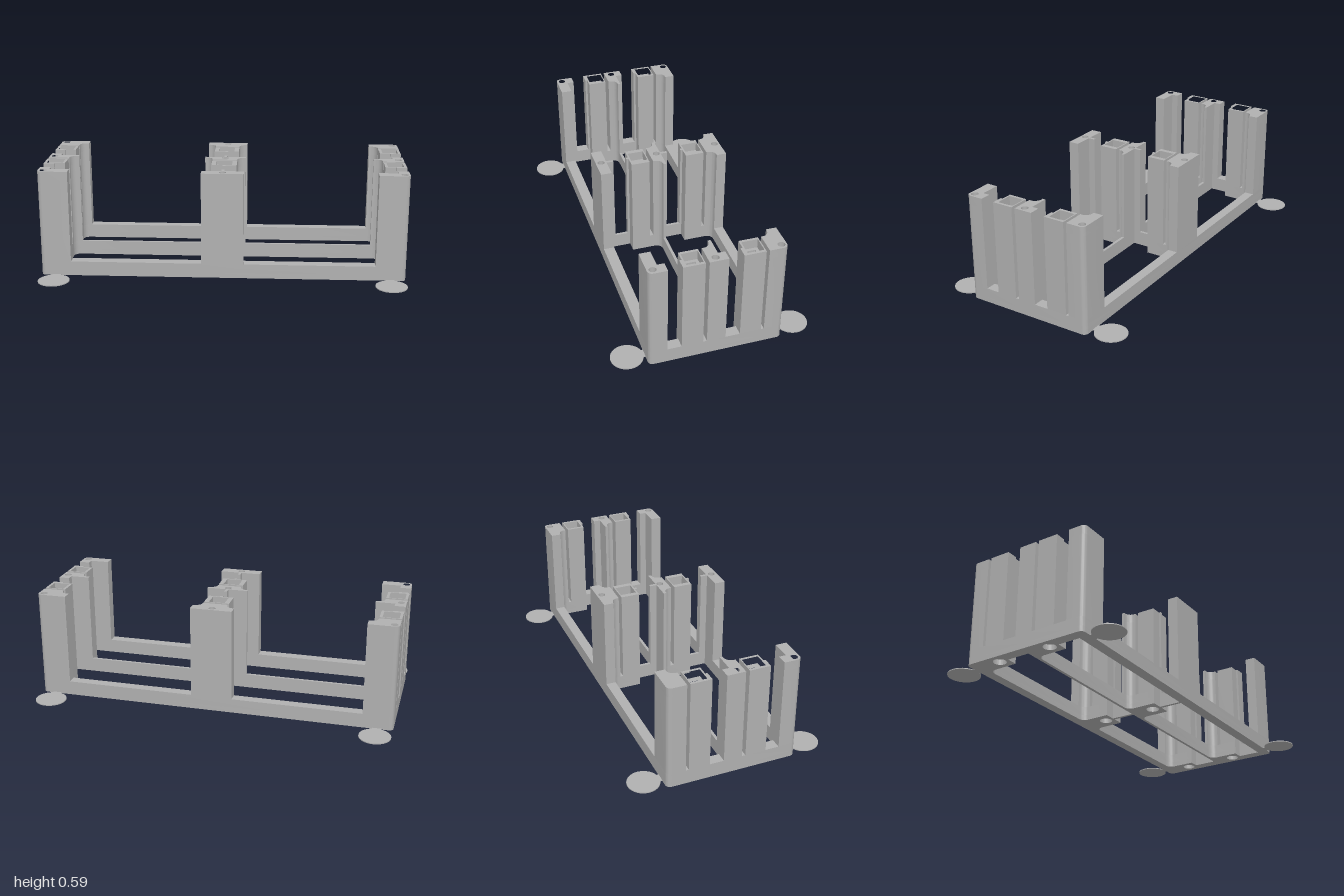
import * as THREE from 'three';
import { toCreasedNormals } from 'three/addons/utils/BufferGeometryUtils.js';

const BASE = 0.08, TOP = 0.59;

// Quarter curve from a to b, bulging toward the corner point c
function arc(a, c, b, n = 8) {
  const pts = [];
  for (let i = 0; i <= n; i++) {
    const t = (i / n) * Math.PI / 2, s = 1 - Math.sin(t), k = 1 - Math.cos(t);
    pts.push([0, 1].map(j => c[j] + (a[j] - c[j]) * s + (b[j] - c[j]) * k));
  }
  return pts;
}
const vecs = (pts, side = 1) => pts.map(([x, z]) => new THREE.Vector2(x * side, z));
const mirror = pts => [...pts, ...pts.map(([x, z]) => [-x, z]).reverse()];
const circle = (x, z, r) => new THREE.Path().absarc(x, z, r, 0, Math.PI * 2, true);
const square = (x, z, h) =>
  new THREE.Path(vecs([[x - h, z - h], [x - h, z + h], [x + h, z + h], [x + h, z - h]]));

// Vertical prism from a plan outline in (x, z)
function prism(outline, holes, y0, y1) {
  const shape = new THREE.Shape(outline);
  shape.holes.push(...holes);
  const geo = new THREE.ExtrudeGeometry(shape, { depth: y1 - y0, bevelEnabled: false, curveSegments: 20 });
  geo.rotateX(Math.PI / 2).translate(0, y1, 0);
  return toCreasedNormals(geo, 0.45);
}

export function createModel() {
  const grey = new THREE.MeshStandardMaterial({ color: 0xb0b0b0 });
  grey.name = 'plain grey';
  const model = new THREE.Group();
  model.name = 'rack';
  const add = (name, geo) => {
    const mesh = new THREE.Mesh(geo, grey);
    mesh.name = name;
    model.add(mesh);
    return mesh;
  };

  // Two rows of sockets: opening limits, socket extents and bore centre in z
  const rows = [
    { open: [-0.305, -0.011], block: [-0.242, -0.139], stub: -0.127, bore: -0.192 },
    { open: [0.005, 0.3], block: [0.072, 0.175], stub: 0.187, bore: 0.122 },
  ];
  const columns = [-1, 0, 1];
  const boreX = 0.941;

  // Base frame with four notched openings and bored sockets
  const right = [
    ...arc([0.975, -0.36], [1, -0.36], [1, -0.335]),
    ...arc([1, 0.335], [1, 0.36], [0.975, 0.36]),
  ];
  const opening = ({ open: [a, b], block: [, e] }, side) => new THREE.Path(vecs([
    ...arc([0.108, a], [0.07, a], [0.07, a + 0.036]),
    [0.07, e], [0.008, e], [0.008, b], [0.94, b], [0.94, e], [0.882, e],
    ...arc([0.882, a + 0.036], [0.882, a], [0.844, a]),
  ], side));
  const baseLayer = (r, y0, y1) => {
    const holes = [];
    for (const row of rows) {
      holes.push(opening(row, 1), opening(row, -1));
      for (const c of columns) holes.push(circle(c * boreX, row.bore, r));
    }
    return prism(vecs(mirror(right)), holes, y0, y1);
  };
  add('baseLower', baseLayer(0.035, 0, 0.03));
  add('baseUpper', baseLayer(0.022, 0.03, BASE));

  // Posts standing on the three long rails, with blind holes in their tops
  const post = (name, col, outline, holeZ) => {
    const plan = vecs(outline, col || 1);
    add(name + 'Shaft', prism(plan, [], BASE, 0.54));
    add(name + 'Top', prism(plan, [circle(col * 0.97, holeZ, 0.019)], 0.54, TOP));
  };
  // Filleted neck from a rail edge, at end and centre columns
  const endNeck = (z, end) => [[0.882, end], ...arc([0.882, z + 0.036], [0.882, z], [0.844, z]), [0.834, z]];
  const midNeck = (z, end) => [[0.115, z], ...arc([0.108, z], [0.07, z], [0.07, z + 0.036]), [0.07, end]];

  for (const c of columns) {
    if (c) {
      post('backPost', c, [[0.834, -0.36],
        ...arc([0.975, -0.36], [1, -0.36], [1, -0.335]),
        [1, -0.259], ...endNeck(-0.305, -0.259)], -0.332);
      post('middlePost', c, [[0.834, -0.011], [0.94, -0.011], [0.94, -0.049], [1, -0.049],
        [1, 0.052], ...endNeck(0.005, 0.052)], 0.012);
      post('frontPost', c, [[0.834, 0.3], [0.94, 0.3], [0.94, 0.262], [1, 0.262],
        ...arc([1, 0.335], [1, 0.36], [0.975, 0.36]), [0.834, 0.36]], 0.33);
    } else {
      post('backPost', c, mirror([[0.115, -0.36], ...midNeck(-0.305, -0.259)]), -0.332);
      post('middlePost', c, mirror([[0.008, -0.049], [0.008, -0.011], [0.115, -0.011],
        ...midNeck(0.005, 0.052)]), 0.012);
      post('frontPost', c, mirror([[0.008, 0.262], [0.008, 0.3], [0.115, 0.3], [0.115, 0.36]]), 0.33);
    }

    // Square socket towers with a stepped pocket above a round bore
    for (const { block: [a, b], stub, bore } of rows) {
      const outline = c
        ? vecs([[0.882, a], [1, a], [1, stub], [0.94, stub], [0.94, b], [0.882, b]], c)
        : vecs(mirror([[0.07, a], [0.07, b], [0.008, b], [0.008, stub]]));
      const x = c * boreX;
      add('socketShaft', prism(outline, [circle(x, bore, 0.022)], BASE, 0.48));
      add('socketNeck', prism(outline, [square(x, bore, 0.027)], 0.48, 0.54));
      add('socketRim', prism(outline, [square(x, bore, 0.044)], 0.54, TOP));
    }
  }

  // Thin round corner pads joined to the base by short tabs
  for (const sx of [-1, 1]) for (const sz of [-1, 1]) {
    add('cornerPad', new THREE.CylinderGeometry(0.086, 0.086, 0.005, 40))
      .position.set(sx * 0.914, 0.0025, sz * 0.453);
    add('padTab', new THREE.BoxGeometry(0.05, 0.005, 0.03))
      .position.set(sx * 0.914, 0.0025, sz * 0.365);
  }
  return model;
}
